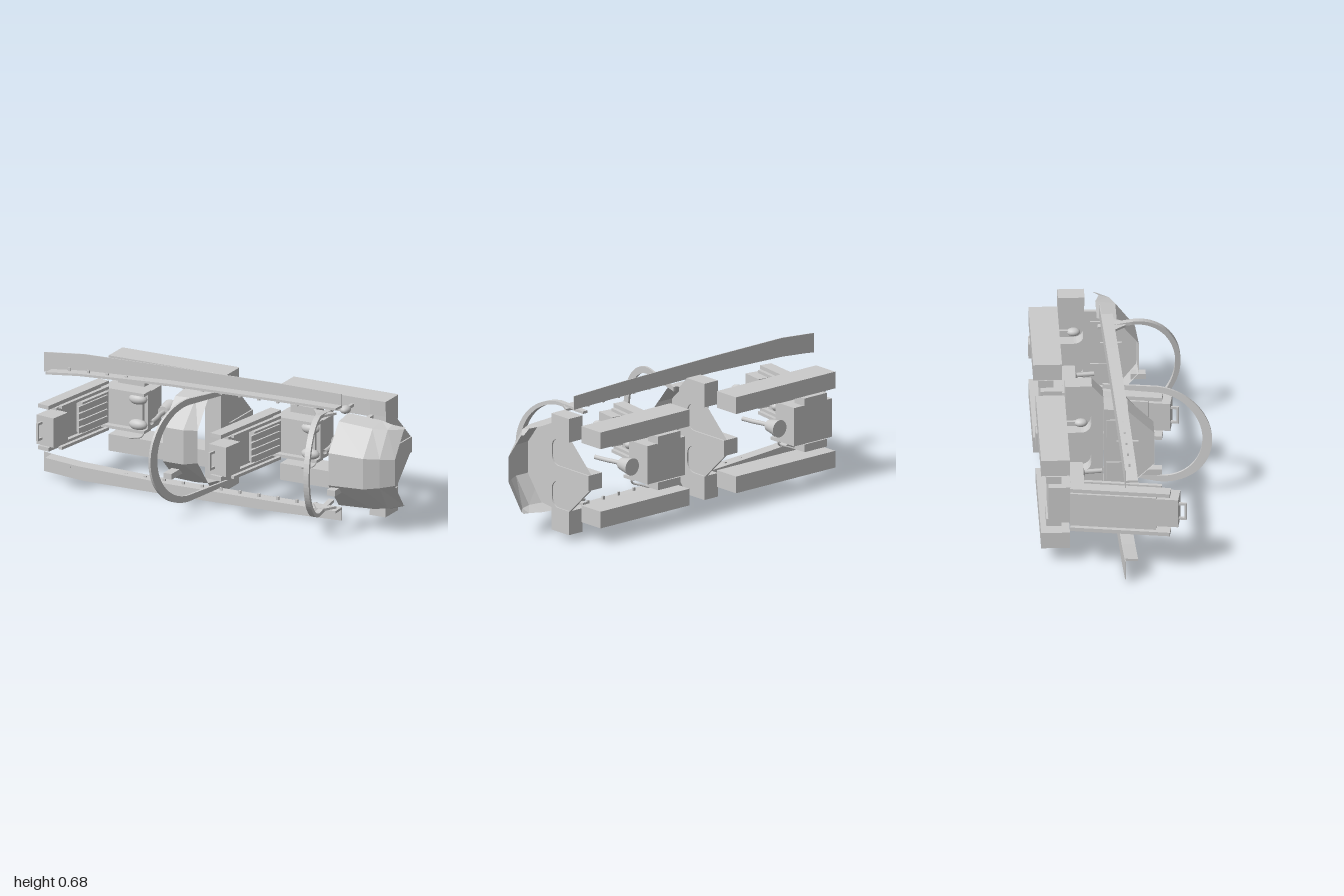
import * as THREE from 'three';

const C = 0.34; // height of the symmetry plane
const mat = new THREE.MeshStandardMaterial({ color: 0xcccccc, side: THREE.DoubleSide });
const flat = new THREE.MeshStandardMaterial({ color: 0xcccccc, side: THREE.DoubleSide, flatShading: true });

function add(parent, name, geometry, material = mat) {
  const mesh = new THREE.Mesh(geometry, material);
  mesh.name = name;
  parent.add(mesh);
  return mesh;
}

// Box given by its extents; y is measured from the symmetry plane
function box(parent, name, x0, x1, y0, y1, z0, z1) {
  const m = add(parent, name, new THREE.BoxGeometry(x1 - x0, Math.abs(y1 - y0), z1 - z0));
  m.position.set((x0 + x1) / 2, (y0 + y1) / 2, (z0 + z1) / 2);
  return m;
}

function pair(parent, name, x0, x1, y0, y1, z0, z1) {
  for (const s of [1, -1]) box(parent, name, x0, x1, s * y0, s * y1, z0, z1);
}

// Skin between consecutive cross-sections
function loft(sections, closed, capped = false) {
  const pos = [];
  const n = sections[0].length;
  const tri = (a, b, c) => pos.push(...a, ...b, ...c);
  for (let i = 0; i < sections.length - 1; i++) {
    for (let j = 0; j < (closed ? n : n - 1); j++) {
      const k = (j + 1) % n, A = sections[i], B = sections[i + 1];
      tri(A[j], B[j], B[k]);
      tri(A[j], B[k], A[k]);
    }
  }
  if (capped) for (const S of [sections[0], sections.at(-1)]) {
    for (let j = 1; j < n - 1; j++) tri(S[0], S[j], S[j + 1]);
  }
  const g = new THREE.BufferGeometry();
  g.setAttribute('position', new THREE.Float32BufferAttribute(pos, 3));
  g.computeVertexNormals();
  return g;
}

// Extrudes a (y, z) outline along x
function slab(shape, x0, depth) {
  const g = new THREE.ExtrudeGeometry(shape, { depth, bevelEnabled: false, curveSegments: 10 });
  const m = new THREE.Matrix4().makeBasis(
    new THREE.Vector3(0, 1, 0), new THREE.Vector3(0, 0, 1), new THREE.Vector3(1, 0, 0));
  return g.applyMatrix4(m).translate(x0, 0, 0);
}

const outline = pts => new THREE.Shape(pts.map(p => new THREE.Vector2(...p)));
const mirrored = half => [...half, ...half.slice().reverse().map(([y, z]) => [-y, z])];

function tube(parent, name, pts, r) {
  const curve = new THREE.CatmullRomCurve3(pts.map(p => new THREE.Vector3(...p)));
  return add(parent, name, new THREE.TubeGeometry(curve, 16, r, 8));
}

// Long sill: flat outer strip with an upright inner flange
function sill(parent, s) {
  const stations = [[-1, 0.312, 0.21], [-0.96, 0.316, 0.217], [-0.78, 0.333, 0.235], [-0.3, 0.338, 0.255],
    [0.3, 0.338, 0.262], [0.65, 0.332, 0.262]];
  const zAt = x => -0.065 - 0.038 * x;
  add(parent, 'sillStrip', loft(stations.map(([x, o, i]) => [
    [x, s * o, zAt(x)], [x, s * o, zAt(x) + 0.005], [x, s * i, zAt(x) + 0.005], [x, s * i, zAt(x)]]), true, true), flat);
  add(parent, 'sillFlange', loft(stations.slice(1).map(([x, o, i]) => [
    [x, s * i, zAt(x)], [x, s * (i + 0.012), zAt(x)],
    [x, s * (i + 0.014), zAt(x) + 0.068], [x, s * (i + 0.002), zAt(x) + 0.068]]), true, true), flat);
  for (let k = 0; k < 14; k++) {
    const x = -0.85 + k * 0.105;
    box(parent, 'sillBolt', x, x + 0.014, s * 0.245, s * 0.264, zAt(x) + 0.03, zAt(x) + 0.04);
  }
}

// Canopy hoop: straight legs and a half-ellipse, leaning along x
function hoop(parent, name, { zc, ry, rz, wy, wz, foot, xAt, depth }) {
  const sections = [];
  const put = (yo, zo, yi, zi) => sections.push([
    [xAt(zo), yo, zo], [xAt(zo) + depth, yo, zo], [xAt(zi) + depth, yi, zi], [xAt(zi), yi, zi]]);
  put(foot, -0.1, foot - wy * 0.7, -0.1);
  for (let i = 0; i <= 40; i++) {
    const a = Math.PI * i / 40, c = Math.cos(a), d = Math.sin(a);
    put(ry * c, zc + rz * d, (ry - wy) * c, zc + (rz - wz) * d);
  }
  put(-foot, -0.1, -foot + wy * 0.7, -0.1);
  add(parent, name, loft(sections, true, true), mat);
}

// Cross-section of an instrument hood, from one side over the top to the other
const hoodSection = (x, top, wTop, mid, wMid, low, wLow) =>
  mirrored([[wLow, low], [wMid, mid], [wTop, top]]).map(([y, z]) => [x, y, z]);

// Bulkhead with two round-topped leg openings, and its end wall
function bulkhead(parent, x, front) {
  const top = front ? [[0.224, -0.16]] : [[0.24, -0.1]];
  const half = [[0.04, -0.437], [0.04, -0.29], [0.04, -0.21]];
  const arc = (cy, a0, a1) => {
    for (let i = 0; i <= 6; i++) {
      const a = a0 + (a1 - a0) * i / 6;
      half.push([cy + 0.05 * Math.cos(a), -0.21 + 0.05 * Math.sin(a)]);
    }
  };
  arc(0.09, Math.PI, Math.PI / 2);
  arc(0.13, Math.PI / 2, 0);
  half.push([0.18, -0.29], [0.303, -0.29], [0.303, -0.157], ...top);
  add(parent, 'bulkhead', slab(outline(mirrored(half)), x, 0.09));
  add(parent, 'footwellWall',
    slab(outline(mirrored([[0.04, -0.437], [0.18, -0.29], [0.18, -0.16]])), x + 0.07, 0.012));
}

function seat(parent, x) {
  const g = new THREE.Group();
  g.name = 'seat';
  g.position.x = x;
  parent.add(g);
  // pan, cushions and side units
  box(g, 'seatPan', -0.79, -0.54, -0.1, 0.1, -0.4, -0.26);
  box(g, 'seatCushion', -0.76, -0.56, -0.085, 0.085, -0.26, -0.24);
  pair(g, 'panSide', -0.79, -0.54, 0.09, 0.105, -0.29, -0.22);
  pair(g, 'sideUnit', -0.75, -0.6, 0.1, 0.14, -0.41, -0.335);
  for (const s of [1, -1]) {
    const knee = add(g, 'thighPad', new THREE.SphereGeometry(1, 20, 12));
    knee.scale.set(0.05, 0.028, 0.03);
    knee.position.set(-0.585, s * 0.067, -0.24);
  }
  // reclined back with guide rails
  const back = new THREE.Group();
  back.name = 'seatBack';
  back.position.set(-0.805, 0, -0.29);
  back.rotation.y = -0.15;
  g.add(back);
  box(back, 'backPlate', -0.03, 0.025, -0.09, 0.09, 0, 0.43);
  pair(back, 'guideRail', -0.035, 0.03, 0.1, 0.12, 0, 0.5);
  pair(back, 'harnessRail', 0.055, 0.075, 0.1, 0.115, 0.06, 0.45);
  box(back, 'backCushion', 0.025, 0.06, -0.08, 0.08, 0.04, 0.26);
  for (let i = 0; i < 4; i++) {
    box(back, 'cushionRib', 0.06, 0.07, -0.07 + i * 0.037, -0.042 + i * 0.037, 0.06, 0.3);
  }
  box(back, 'headBox', -0.015, 0.09, -0.077, 0.077, 0.42, 0.54);
  pair(back, 'handlePost', 0.01, 0.022, 0.035, 0.047, 0.54, 0.58);
  box(back, 'handleBar', 0.01, 0.022, -0.047, 0.047, 0.568, 0.58);
  tube(g, 'hose', [[-0.56, -0.1, -0.26], [-0.57, -0.13, -0.25], [-0.62, -0.15, -0.27], [-0.67, -0.17, -0.3]], 0.005);
}

function controls(parent, x, throttleX) {
  // control stick
  const boot = add(parent, 'stickBase', new THREE.CylinderGeometry(0.03, 0.045, 0.08, 20));
  boot.rotation.x = Math.PI / 2;
  boot.position.set(x, 0, -0.33);
  tube(parent, 'stick', [[x, 0, -0.3], [x + 0.005, 0, -0.24], [x + 0.015, 0, -0.2], [x + 0.025, 0, -0.12]], 0.012);
  // throttle
  box(parent, 'throttleLever', throttleX - 0.008, throttleX + 0.008, 0.2, 0.215, -0.3, -0.22);
  const grip = add(parent, 'throttleGrip', new THREE.SphereGeometry(0.026, 14, 10));
  grip.scale.set(1, 0.8, 1.3);
  grip.position.set(throttleX, 0.205, -0.22);
}

export function createModel() {
  const model = new THREE.Group();
  model.name = 'tandemCockpit';
  const body = new THREE.Group();
  body.name = 'cockpit';
  body.position.y = C;
  model.add(body);

  for (const s of [1, -1]) sill(body, s);

  // hoops
  hoop(body, 'middleHoop', { zc: 0.17, ry: 0.27, rz: 0.272, wy: 0.033, wz: 0.048, foot: 0.25,
    xAt: z => -0.015 - 0.268 * (z + 0.1), depth: 0.012 });
  hoop(body, 'frontHoop', { zc: 0.07, ry: 0.262, rz: 0.247, wy: 0.018, wz: 0.027, foot: 0.245,
    xAt: z => 0.57 + 0.25 * Math.max(z, 0), depth: 0.03 });
  for (const s of [1, -1]) {
    add(body, 'hoopGusset', loft([0.24, 0.252].map(y => [
      [0.52, s * y, -0.03], [0.65, s * y, -0.03], [0.61, s * y, 0.04], [0.575, s * y, 0.04]]), true, true), flat);
  }

  // consoles, bulkheads, seats and controls
  pair(body, 'sideConsole', -0.78, -0.12, 0.163, 0.25, -0.437, -0.293);
  pair(body, 'sideConsole', 0.19, 0.78, 0.163, 0.25, -0.437, -0.293);
  bulkhead(body, -0.13, false);
  bulkhead(body, 0.77, true);
  for (const x of [0, 0.975]) seat(body, x);
  controls(body, -0.47, -0.32);
  controls(body, 0.51, 0.6);

  // front instrument hood, an open faceted shell
  add(body, 'frontHood', loft([
    hoodSection(0.68, 0.11, 0.085, 0, 0.22, -0.1, 0.235),
    hoodSection(0.87, 0.098, 0.08, 0, 0.21, -0.1, 0.225),
    hoodSection(0.94, 0.055, 0.075, -0.03, 0.207, -0.08, 0.22),
    hoodSection(1, 0.005, 0.068, -0.09, 0.2, -0.11, 0.205)], false), flat);
  add(body, 'frontPanel', slab(outline(mirrored([[0.224, -0.165], [0.222, -0.1], [0.21, 0], [0.08, 0.1]])), 0.77, 0.02));

  // rear instrument hood
  add(body, 'rearHood', loft([
    hoodSection(-0.235, 0.15, 0.09, 0.02, 0.215, -0.1, 0.23),
    hoodSection(-0.12, 0.15, 0.09, 0.02, 0.22, -0.1, 0.235),
    hoodSection(-0.06, 0.11, 0.085, 0, 0.222, -0.1, 0.238)], false), flat);
  add(body, 'rearPanel', slab(outline(mirrored([[0.23, -0.1], [0.215, 0.018], [0.09, 0.148]])), -0.23, 0.02));

  // displays and a small sensor on each panel
  for (const [x, z] of [[-0.235, 0], [0.765, -0.04]]) {
    pair(body, 'display', x - 0.008, x, 0.07, 0.17, z - 0.09, z + 0.01);
    box(body, 'centreDisplay', x - 0.012, x, -0.05, 0.05, z - 0.04, z + 0.07);
  }
  box(body, 'sensor', -0.21, -0.165, -0.165, -0.135, 0.06, 0.19);
  box(body, 'sensor', 0.69, 0.735, -0.125, -0.095, 0.07, 0.145);
  return model;
}
